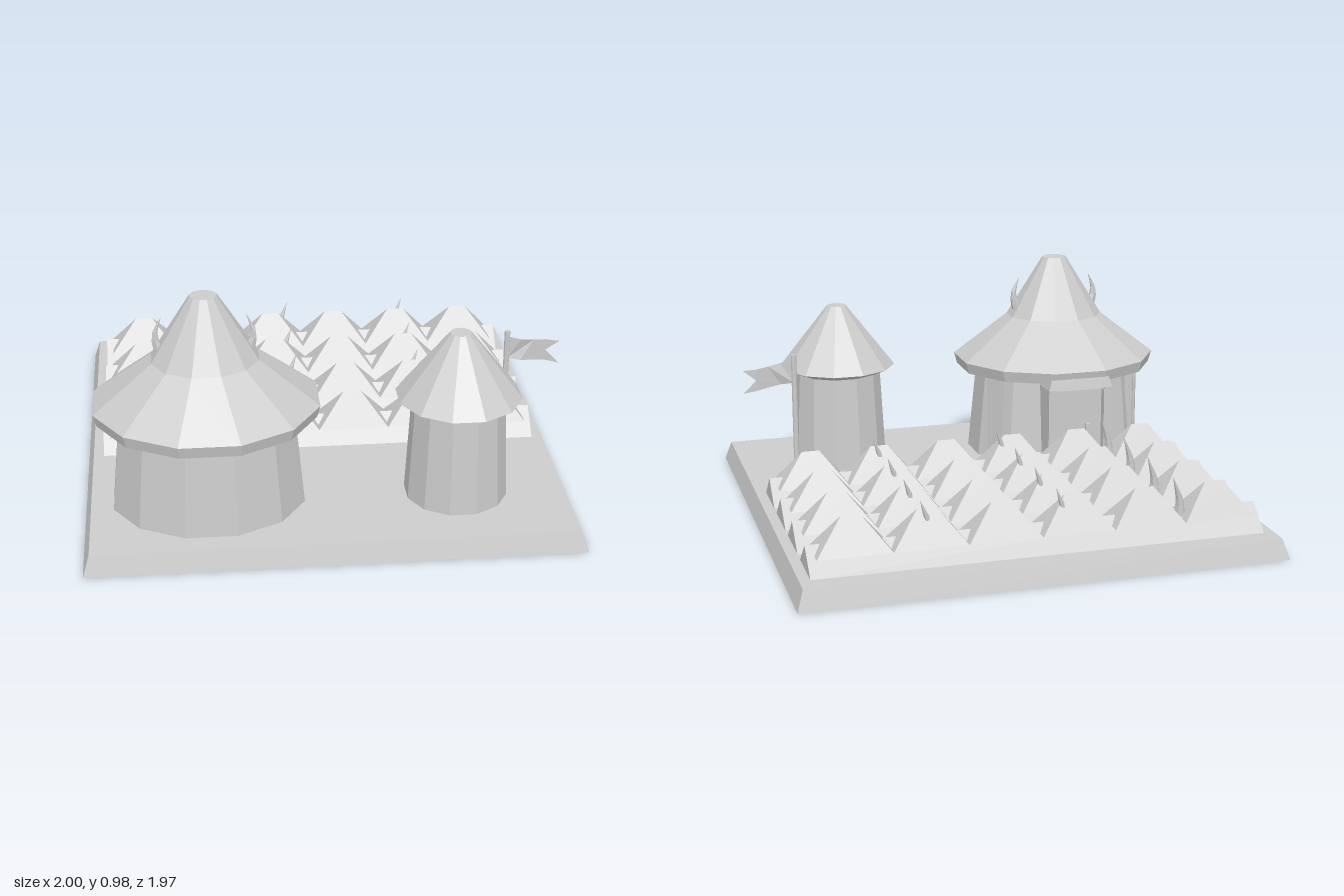
import * as THREE from 'three';

export function createModel() {
  const model = new THREE.Group();
  const grey = new THREE.MeshStandardMaterial({ color: 0xcccccc, flatShading: true, side: THREE.DoubleSide });
  grey.name = 'light grey';
  const GROUND = 0.085;

  function add(name, geometry, x = 0, y = 0, z = 0, parent = model) {
    const mesh = new THREE.Mesh(geometry, grey);
    mesh.name = name;
    mesh.position.set(x, y, z);
    parent.add(mesh);
    return mesh;
  }

  // Box standing on y = 0 whose top is narrowed to topW x topD; open leaves out the underside
  function tapered(w, h, d, topW, topD, open = false) {
    const g = new THREE.BoxGeometry(w, h, d).translate(0, h / 2, 0);
    const p = g.attributes.position;
    for (let i = 0; i < p.count; i++) {
      if (p.getY(i) > h / 2) {
        p.setX(i, Math.sign(p.getX(i)) * topW / 2);
        p.setZ(i, Math.sign(p.getZ(i)) * topD / 2);
      }
    }
    if (open) {
      const index = Array.from(g.index.array);
      index.splice(18, 6);
      g.setIndex(index);
      g.clearGroups();
    }
    g.computeVertexNormals();
    return g;
  }

  // Twelve-sided turned form, flats facing the axes
  function turned(profile, depthScale = 1) {
    const pts = profile.map(([r, y]) => new THREE.Vector2(r, y));
    return new THREE.LatheGeometry(pts, 12, Math.PI / 12).scale(1, 1, depthScale);
  }

  // Curved spike that narrows to a point
  function spike(points, radius) {
    const curve = new THREE.CatmullRomCurve3(points.map((p) => new THREE.Vector3(...p)));
    const rings = 6, sides = 6;
    const g = new THREE.TubeGeometry(curve, rings, radius, sides);
    const p = g.attributes.position;
    const v = new THREE.Vector3();
    for (let i = 0; i < p.count; i++) {
      const t = Math.floor(i / (sides + 1)) / rings;
      const c = curve.getPointAt(t);
      v.fromBufferAttribute(p, i).sub(c).multiplyScalar(1 - t * 0.98).add(c);
      p.setXYZ(i, v.x, v.y, v.z);
    }
    return g;
  }

  // Ground slab, hollow from below
  add('ground', tapered(2, GROUND, 1.97, 1.947, 1.92, true));

  // Crop rows: earth ridge, six mounds, three sprouts each
  for (let r = 0; r < 4; r++) {
    const row = new THREE.Group();
    row.name = 'cropRow';
    row.position.z = 0.069 - r * 0.279;
    model.add(row);
    add('earthRidge', tapered(1.86, 0.1, 0.222, 1.86, 0, true), 0, GROUND, 0, row);
    for (let i = 0; i < 6; i++) {
      add('mound', tapered(0.3, 0.14, 0.172, 0.075, 0), -0.75 + i * 0.3, 0.15, 0, row);
    }
    for (const x of [-0.592, -0.1, 0.45]) {
      add('sprout', spike([[-0.008, 0.14, -0.005], [-0.006, 0.22, -0.012], [0.032, 0.33, -0.031]], 0.028), x, 0, 0, row);
    }
  }

  // Large oval hut
  const hut = new THREE.Group();
  hut.name = 'hut';
  hut.position.set(-0.492, 0, 0.538);
  model.add(hut);
  add('hutWall', turned([[0.402, GROUND], [0.362, 0.49]], 0.855), 0, 0, 0, hut);
  add('hutRoof', turned([[0, 0.48], [0.452, 0.48], [0.466, 0.53], [0.22, 0.717], [0.055, 0.983], [0, 0.983]], 0.897), 0, 0, 0, hut);

  for (const s of [-1, 1]) {
    // Roof horns
    add('roofHorn', spike([[s * 0.15, 0.7, 0], [s * 0.186, 0.77, 0], [s * 0.194, 0.82, 0], [s * 0.168, 0.893, 0]], 0.032), 0, 0, 0, hut);

    // Narrow windows on the rear side walls
    const window = new THREE.Group();
    window.name = 'window';
    window.position.set(s * 0.322, 0.305, -0.161);
    window.rotation.y = Math.atan2(s * 0.83, -0.56);
    hut.add(window);
    add('windowPane', new THREE.BoxGeometry(0.04, 0.34, 0.02), 0, 0, 0, window);
    for (const e of [-1, 1]) {
      add('windowPost', new THREE.BoxGeometry(0.016, 0.35, 0.036), e * 0.026, 0, 0.006, window);
    }
  }

  // Doorway at the back
  for (const s of [-1, 1]) {
    add('doorPost', new THREE.BoxGeometry(0.04, 0.37, 0.165), s * 0.13, GROUND + 0.185, -0.325, hut);
  }
  add('doorLintel', tapered(0.3, 0.05, 0.165, 0.27, 0.145), 0, 0.45, -0.325, hut);
  add('door', new THREE.BoxGeometry(0.22, 0.37, 0.1), 0, GROUND + 0.185, -0.32, hut);
  add('doorHandle', new THREE.BoxGeometry(0.022, 0.035, 0.02), -0.045, 0.265, -0.378, hut);

  // Small round tower
  const tower = new THREE.Group();
  tower.name = 'tower';
  tower.position.set(0.522, 0, 0.59);
  model.add(tower);
  add('towerWall', turned([[0.212, GROUND], [0.19, 0.51]]), 0, 0, 0, tower);
  add('towerRoof', turned([[0, 0.5], [0.188, 0.5], [0.257, 0.53], [0.043, 0.803], [0, 0.803]]), 0, 0, 0, tower);

  // Flagpole and gently waving swallow-tailed flag
  add('flagpole', new THREE.CylinderGeometry(0.012, 0.012, 0.575, 8), 0.772, GROUND + 0.2875, 0.298);
  const flag = new THREE.Shape();
  flag.moveTo(0.775, 0.535);
  flag.quadraticCurveTo(0.885, 0.525, 0.995, 0.503);
  flag.lineTo(0.94, 0.56);
  flag.lineTo(0.995, 0.604);
  flag.quadraticCurveTo(0.885, 0.612, 0.775, 0.635);
  const cloth = new THREE.ShapeGeometry(flag, 4);
  const p = cloth.attributes.position;
  for (let i = 0; i < p.count; i++) p.setZ(i, 0.012 * Math.sin((p.getX(i) - 0.775) * 28));
  add('flag', cloth, 0, 0, 0.298);

  return model;
}
